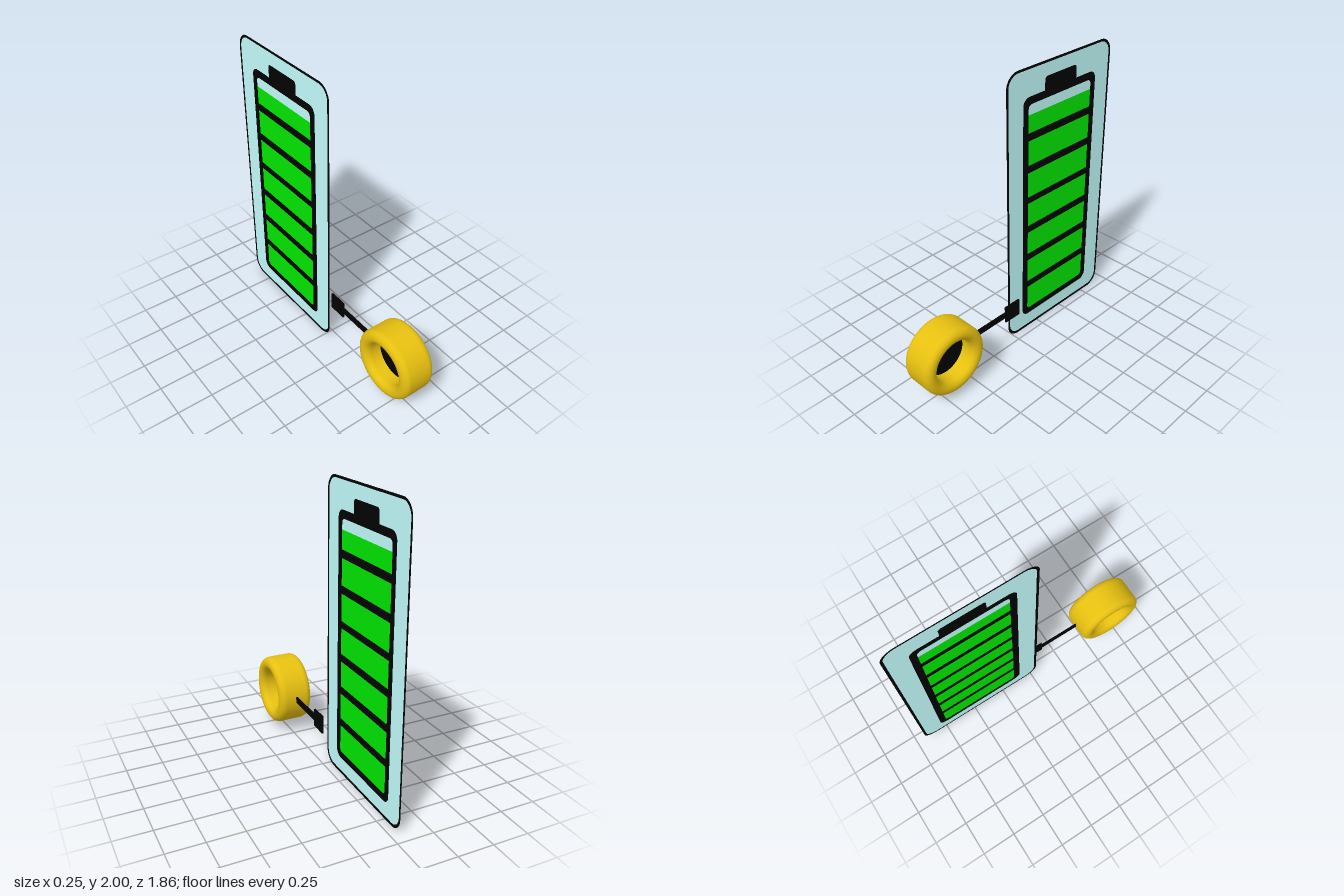
import * as THREE from 'three';

const black = new THREE.MeshStandardMaterial({ color: 0x020202, side: THREE.DoubleSide });
const paleBlue = new THREE.MeshStandardMaterial({ color: 0xc4fefd, side: THREE.DoubleSide });
const green = new THREE.MeshStandardMaterial({ color: 0x00e800, side: THREE.DoubleSide });
const yellow = new THREE.MeshStandardMaterial({ color: 0xe6c010 });

const PANEL_X = -0.058;
const LINK_Y = 0.3;

// Rectangle from (u0, v0) to (u1, v1) with separate bottom and top corner radii.
// An optional tab { u0, u1, v, r } stands on the top edge.
function roundedRect(u0, v0, u1, v1, rb, rt = rb, tab = null) {
  const s = new THREE.Shape();
  s.moveTo(u0 + rb, v0);
  s.lineTo(u1 - rb, v0);
  if (rb) s.absarc(u1 - rb, v0 + rb, rb, -Math.PI / 2, 0);
  s.lineTo(u1, v1 - rt);
  if (rt) s.absarc(u1 - rt, v1 - rt, rt, 0, Math.PI / 2);
  if (tab) {
    s.lineTo(tab.u1, v1);
    s.absarc(tab.u1 - tab.r, tab.v - tab.r, tab.r, 0, Math.PI / 2);
    s.absarc(tab.u0 + tab.r, tab.v - tab.r, tab.r, Math.PI / 2, Math.PI);
    s.lineTo(tab.u0, v1);
  }
  s.lineTo(u0 + rt, v1);
  if (rt) s.absarc(u0 + rt, v1 - rt, rt, Math.PI / 2, Math.PI);
  s.lineTo(u0, v0 + rb);
  if (rb) s.absarc(u0 + rb, v0 + rb, rb, Math.PI, Math.PI * 1.5);
  return s;
}

// Flat sheet standing in the y-z plane; the shape's horizontal axis runs towards -z.
function sheet(name, shape, holes, material) {
  shape.holes.push(...holes);
  const mesh = new THREE.Mesh(new THREE.ShapeGeometry(shape, 10).rotateY(Math.PI / 2), material);
  mesh.name = name;
  return mesh;
}

function box(name, depth, height, z) {
  const mesh = new THREE.Mesh(new THREE.BoxGeometry(0.012, height, depth), black);
  mesh.name = name;
  mesh.position.set(0, LINK_Y, z);
  return mesh;
}

function createPanel() {
  const panel = new THREE.Group();
  panel.name = 'batteryPanel';
  panel.position.x = PANEL_X;

  // backing card with a thin dark border
  const card = () => roundedRect(-0.03, 0.02, 0.91, 1.983, 0.085);
  const frame = () => roundedRect(0.098, 0.117, 0.782, 1.805, 0.055, 0.055,
    { u0: 0.292, u1: 0.588, v: 1.896, r: 0.022 });
  panel.add(sheet('cardBorder', roundedRect(-0.048, 0, 0.927, 2, 0.1), [card()], black));
  panel.add(sheet('card', card(), [frame()], paleBlue));

  // charge cells, bottom to top: [lower edge, upper edge]
  const cells = [
    [0.164, 0.358], [0.41, 0.59], [0.643, 0.818], [0.871, 1.047],
    [1.095, 1.276], [1.33, 1.505], [1.559, 1.752],
  ];
  const last = cells.length - 1, left = 0.146, right = 0.737, fill = 1.683;
  const windows = cells.map(([a, b], i) =>
    roundedRect(left, a, right, b, i === 0 ? 0.025 : 0, i === last ? 0.03 : 0));
  panel.add(sheet('batteryFrame', frame(), windows, black));
  cells.forEach(([a, b], i) => {
    const top = i === last ? fill : b;
    panel.add(sheet('chargeCell', roundedRect(left, a, right, top, i === 0 ? 0.025 : 0, 0), [], green));
  });
  panel.add(sheet('emptyStrip', roundedRect(left, fill, right, cells[last][1], 0, 0.03), [], paleBlue));
  return panel;
}

function createWheel() {
  const wheel = new THREE.Group();
  wheel.name = 'wheel';
  wheel.position.set(0, LINK_Y, 0.682);

  // ring: a rounded cross-section turned about the x axis
  const inner = 0.15, outer = 0.246, half = 0.123, r = (outer - inner) / 2;
  const section = [];
  const steps = 12;
  for (const side of [1, -1]) {
    for (let i = 0; i <= steps; i++) {
      const a = (i / steps) * Math.PI;
      section.push(new THREE.Vector2(
        inner + r + side * Math.cos(a) * r,
        side * (half - r + Math.sin(a) * r)));
    }
  }
  section.push(section[0].clone());
  section.reverse();
  // the lathe turns clockwise sections inside out, so run it from outer rim round to bore
  const ring = new THREE.Mesh(
    new THREE.LatheGeometry(section.reverse(), 64).rotateZ(-Math.PI / 2), yellow);
  ring.name = 'ring';

  // dark disc closing the middle of the ring
  const disc = new THREE.Mesh(new THREE.CircleGeometry(inner + 0.005, 48).rotateY(Math.PI / 2), black);
  disc.name = 'disc';
  wheel.add(ring, disc);
  return wheel;
}

export function createModel() {
  const model = new THREE.Group();
  model.name = 'batteryIndicator';
  model.add(createPanel(), createWheel());
  // link between the wheel and the panel
  model.add(box('connectorBlock', 0.132, 0.128, 0.067));
  model.add(box('connectorRod', 0.32, 0.042, 0.29));
  return model;
}
